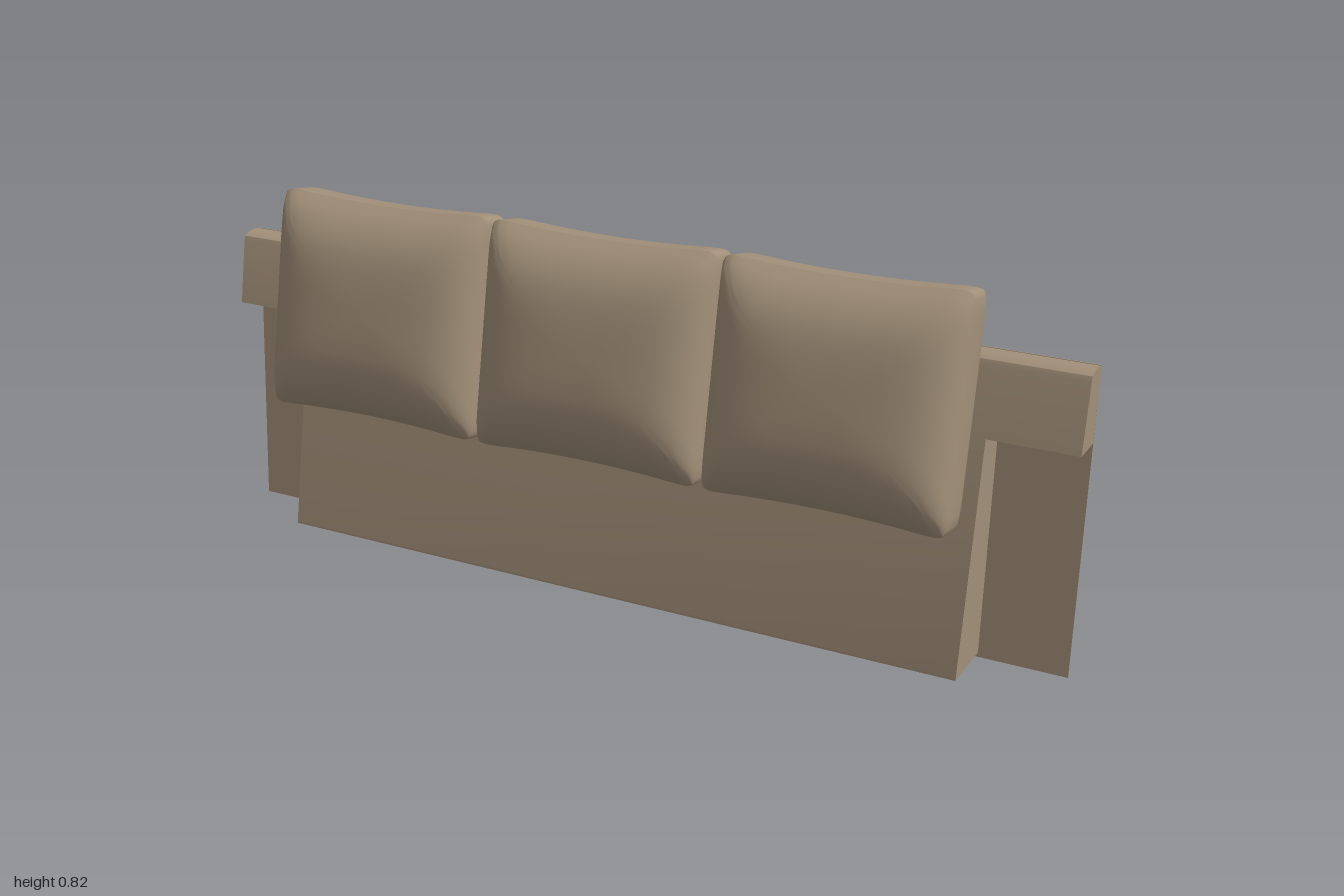
import * as THREE from 'three';
import { toCreasedNormals } from 'three/addons/utils/BufferGeometryUtils.js';

const fabric = new THREE.MeshStandardMaterial({ color: 0xa29079 });
fabric.name = 'tan fabric';
fabric.side = THREE.DoubleSide;

function addMesh(parent, name, geometry) {
  const mesh = new THREE.Mesh(geometry, fabric);
  mesh.name = name;
  parent.add(mesh);
  return mesh;
}

// Side profile of [z, y] points swept across the width, centred on x = 0
function prism(profile, width) {
  const shape = new THREE.Shape(profile.map(([z, y]) => new THREE.Vector2(z, y)));
  const geometry = new THREE.ExtrudeGeometry(shape, { depth: width, bevelEnabled: false });
  geometry.rotateY(-Math.PI / 2);
  geometry.translate(width / 2, 0, 0);
  return toCreasedNormals(geometry, 0.6);
}

// Plump cushion: rounded-square rings from the flat back, past the seam, to the domed front
function cushionGeometry() {
  const halfW = 0.262, halfH = 0.245, perSide = 16;
  // [inset in x, inset in y, depth, corner exponent]
  const rings = [
    [halfW, halfH, 0, 4], [0.15, 0.15, 0, 10], [0.03, 0.03, 0, 16], [0.012, 0.012, 0.003, 18],
    [0.004, 0.004, 0.012, 20], [0, 0, 0.028, 22], [0, 0, 0.065, 24], [0, 0, 0.1, 24],
    [0.006, 0.014, 0.115, 18], [0.016, 0.03, 0.13, 13], [0.034, 0.054, 0.146, 9],
    [0.06, 0.083, 0.16, 7], [0.09, 0.112, 0.168, 5], [0.14, 0.15, 0.174, 4],
    [0.2, 0.2, 0.176, 3], [halfW, halfH, 0.177, 2],
  ];
  const count = perSide * 4;
  const points = rings.map(([insetX, insetY, depth, e]) => {
    const ring = [];
    for (let i = 0; i < count; i++) {
      // Walk round a square, with closer steps near its corners
      const t = Math.sin((((i % perSide) / perSide) * 2 - 1) * Math.PI / 2);
      const [a, b] = [[1, t], [-t, 1], [-1, -t], [t, -1]][Math.floor(i / perSide)];
      const s = 1 / Math.pow(Math.abs(a) ** e + Math.abs(b) ** e, 1 / e);
      const x = a * s, y = b * s;
      const pinch = 1 - 0.05 * (1 - x * x);
      ring.push([x * (halfW - insetX), y * (halfH - insetY) * pinch + halfH, depth]);
    }
    return ring;
  });
  const positions = [];
  for (let r = 0; r < rings.length - 1; r++) {
    for (let i = 0; i < count; i++) {
      const j = (i + 1) % count;
      const a = points[r][i], b = points[r][j], c = points[r + 1][j], d = points[r + 1][i];
      if (r > 0) positions.push(...a, ...b, ...c);
      if (r < rings.length - 2) positions.push(...a, ...c, ...d);
      if (r === 0) positions.push(...b, ...c, ...a);
    }
  }
  // The innermost rings are single points, so drop triangles of no area
  const kept = [];
  const tri = new THREE.Triangle();
  for (let k = 0; k < positions.length; k += 9) {
    tri.a.fromArray(positions, k);
    tri.b.fromArray(positions, k + 3);
    tri.c.fromArray(positions, k + 6);
    if (tri.getArea() > 1e-9) kept.push(...positions.slice(k, k + 9));
  }
  const geometry = new THREE.BufferGeometry();
  geometry.setAttribute('position', new THREE.Float32BufferAttribute(kept, 3));
  return toCreasedNormals(geometry, 0.6);
}

export function createModel() {
  const model = new THREE.Group();
  model.name = 'sofaBackrest';

  // Thin sheet covering the whole back
  addMesh(model, 'backPanel', prism([
    [-0.109, 0], [-0.112, 0], [-0.146, 0.66], [-0.143, 0.66],
  ], 2));

  // Wide top rail with a softly rounded top
  addMesh(model, 'topRail', prism([
    [-0.055, 0.502], [-0.08, 0.645], [-0.084, 0.656], [-0.093, 0.661],
    [-0.112, 0.664], [-0.13, 0.663], [-0.143, 0.659], [-0.134, 0.502],
  ], 2));

  // Wedge-shaped body, narrower than the rail
  addMesh(model, 'wedgeBody', prism([
    [0.029, 0.01], [0.029, 0.016], [-0.055, 0.502], [-0.134, 0.502], [-0.109, 0.01],
  ], 1.62));

  // Three cushions leaning on the backrest
  const cushion = cushionGeometry();
  ['rightCushion', 'middleCushion', 'leftCushion'].forEach((name, i) => {
    const mesh = addMesh(model, name, cushion);
    mesh.position.set(-0.005 + (i - 1) * 0.535, 0.322, -0.002);
    mesh.rotation.x = -0.179;
  });

  return model;
}
